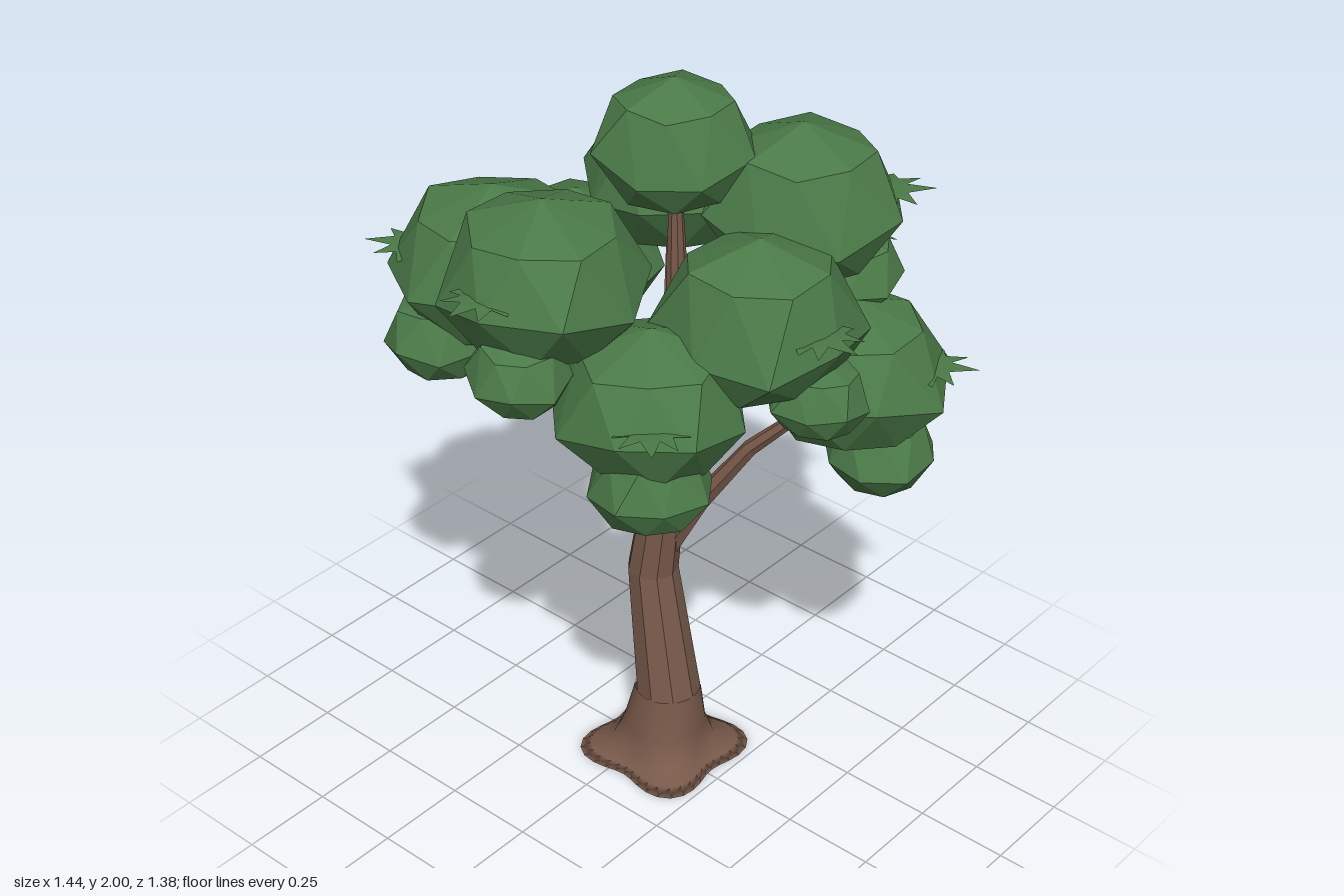
import * as THREE from 'three';

const bark = new THREE.MeshStandardMaterial({ color: 0x78594a, flatShading: true });
const rootBark = new THREE.MeshStandardMaterial({ color: 0x78594a });
const foliage = new THREE.MeshStandardMaterial({ color: 0x4b7a48, flatShading: true });
const leaf = new THREE.MeshStandardMaterial({ color: 0x4b7a48, flatShading: true, side: THREE.DoubleSide });
const UP = new THREE.Vector3(0, 1, 0);

// Skin over rings [x, y, z, radius]; rings follow the path unless level is set
function loft(rings, sides, { level = false, lobe = () => 0 } = {}) {
  const points = rings.map(([x, y, z]) => new THREE.Vector3(x, y, z));
  const position = [];
  const index = [];
  rings.forEach((ring, k) => {
    const tangent = points[Math.min(k + 1, points.length - 1)].clone()
      .sub(points[Math.max(k - 1, 0)]).normalize();
    const turn = new THREE.Quaternion();
    if (!level) turn.setFromUnitVectors(UP, tangent);
    for (let i = 0; i < sides; i++) {
      const a = (i / sides) * Math.PI * 2;
      const r = ring[3] + lobe(a, k);
      const p = new THREE.Vector3(Math.cos(a) * r, 0, Math.sin(a) * r)
        .applyQuaternion(turn).add(points[k]);
      position.push(p.x, p.y, p.z);
      if (k === 0) continue;
      const n = (i + 1) % sides;
      const low = (k - 1) * sides;
      const high = k * sides;
      index.push(low + i, high + i, low + n, low + n, high + i, high + n);
    }
  });
  const g = new THREE.BufferGeometry();
  g.setAttribute('position', new THREE.Float32BufferAttribute(position, 3));
  g.setIndex(index);
  g.computeVertexNormals();
  return g;
}

function add(parent, name, geometry, material) {
  const mesh = new THREE.Mesh(geometry, material);
  mesh.name = name;
  parent.add(mesh);
  return mesh;
}

// Coarse leaf mass: peaked dome above, flatter below, rings twisted into uneven facets
function clumpGeometry(r, seed) {
  const g = new THREE.SphereGeometry(1, 8, 4);
  const p = g.attributes.position;
  const v = new THREE.Vector3();
  for (let i = 0; i < p.count; i++) {
    v.fromBufferAttribute(p, i);
    v.applyAxisAngle(UP, seed * 1.7 + v.y * 0.45);
    const wide = r * (1.03 + 0.07 * Math.sin(v.x * 4 + seed * 2.3) * Math.cos(v.z * 3.5 + v.y * 2 + seed));
    const lift = 0.1 * Math.sin(v.x * 3 + v.z * 4 + seed * 3.1) * (1 - v.y * v.y);
    p.setXYZ(i, v.x * wide, r * (v.y * (v.y > 0 ? 0.93 : 0.68) + lift), v.z * wide);
  }
  return g;
}

// Flat jagged sprig pointing along +z
function sprigGeometry() {
  const outline = [[-0.05, -0.06], [-0.09, 0], [-0.05, 0.005], [-0.075, 0.05], [-0.025, 0.03],
    [0, 0.1], [0.02, 0.03], [0.06, 0.065], [0.05, 0.01], [0.09, 0], [0.05, -0.06]];
  const g = new THREE.ShapeGeometry(new THREE.Shape(outline.map(([x, y]) => new THREE.Vector2(x, y))));
  g.rotateX(Math.PI / 2);
  const p = g.attributes.position;
  for (let i = 0; i < p.count; i++) p.setY(i, -1.2 * p.getX(i) ** 2);
  return g;
}

// Trunk centre line with radii
const trunk = [
  [0.045, 0.02, -0.015, 0.118], [0.06, 0.22, -0.015, 0.087], [0.0, 0.58, -0.022, 0.068],
  [0.035, 0.9, -0.035, 0.053], [0.065, 1.2, -0.04, 0.036], [0.06, 1.5, -0.04, 0.026],
  [0.055, 1.75, -0.04, 0.014]];

function trunkAt(y) {
  const k = trunk.findIndex((ring) => ring[1] > y);
  const t = (y - trunk[k - 1][1]) / (trunk[k][1] - trunk[k - 1][1]);
  return trunk[k].map((v, i) => THREE.MathUtils.lerp(trunk[k - 1][i], v, t));
}

// Large clumps [x, y, z, radius, height where the branch leaves the trunk]
const bigClumps = [
  [0.01, 1.6, 0.375, 0.245, 1.02], [0.29, 1.66, -0.23, 0.245, 1.12], [-0.165, 1.56, -0.285, 0.23, 1.03],
  [-0.42, 1.27, -0.2, 0.23, 0.7], [-0.31, 1.46, 0.21, 0.25, 0.9], [0.39, 1.5, 0.05, 0.245, 0.96],
  [0.46, 1.26, -0.23, 0.235, 0.64], [0.15, 1.37, -0.4, 0.225, 0.82], [0.27, 1.34, 0.3, 0.23, 0.8]];

// Small clumps hanging below the large ones [x, y, z, radius]
const smallClumps = [
  [0.06, 1.44, 0.51, 0.125], [-0.37, 1.3, 0.34, 0.145], [-0.5, 1.11, -0.18, 0.16],
  [0.32, 1.17, 0.36, 0.15], [0.53, 1.05, -0.27, 0.14], [0.55, 1.34, 0.02, 0.12],
  [0.38, 1.48, -0.32, 0.13], [0.14, 1.21, -0.5, 0.125], [-0.26, 1.42, -0.36, 0.125]];

export function createModel() {
  const tree = new THREE.Group();
  tree.name = 'tree';

  // Trunk and four spreading roots
  add(tree, 'trunk', loft(trunk, 9, { level: true }), bark);
  const flare = [[0.045, 0, -0.018, 0], [0.045, 0, -0.018, 0.2], [0.045, 0.012, -0.018, 0.175],
    [0.045, 0.035, -0.016, 0.13], [0.05, 0.1, -0.015, 0.11], [0.06, 0.22, -0.015, 0.088]];
  const spread = [0, 0.03, 0.025, 0.008, 0, 0];
  add(tree, 'rootFlare', loft(flare, 40, {
    level: true, lobe: (a, k) => -spread[k] * Math.cos(4 * a),
  }), rootBark);

  // Branches with an elbow, each reaching into its clump
  const branches = new THREE.Group();
  branches.name = 'branches';
  tree.add(branches);
  for (const [x, y, z, , h] of bigClumps) {
    const [sx, sy, sz, sr] = trunkAt(h);
    const r = Math.min(0.032, sr * 0.65);
    const rise = y - sy;
    add(branches, 'branch', loft([
      [sx, sy - 0.05, sz, r],
      [sx + (x - sx) * 0.24, sy + rise * 0.28, sz + (z - sz) * 0.24, r * 0.85],
      [sx + (x - sx) * 0.5, sy + rise * 0.58, sz + (z - sz) * 0.5, r * 0.65],
      [sx + (x - sx) * 0.95, sy + rise * 0.93, sz + (z - sz) * 0.95, r * 0.35]], 6), bark);
  }

  // Crown of leaf clumps
  const crown = new THREE.Group();
  crown.name = 'crown';
  tree.add(crown);
  add(crown, 'topClump', clumpGeometry(0.2, 2), foliage).position.set(0.055, 1.814, -0.035);
  bigClumps.forEach(([x, y, z, r], i) => {
    add(crown, 'largeClump', clumpGeometry(r, i + 1), foliage).position.set(x, y, z);
    // Sprig on the outward side
    const sprig = add(crown, 'leafSprig', sprigGeometry(), leaf);
    const d = Math.hypot(x, z);
    sprig.position.set(x + (x / d) * r * 0.9, y + 0.06, z + (z / d) * r * 0.9);
    sprig.rotation.y = Math.atan2(x, z);
  });
  smallClumps.forEach(([x, y, z, r], i) => {
    add(crown, 'smallClump', clumpGeometry(r, i + 4.5), foliage).position.set(x, y, z);
  });
  return tree;
}
